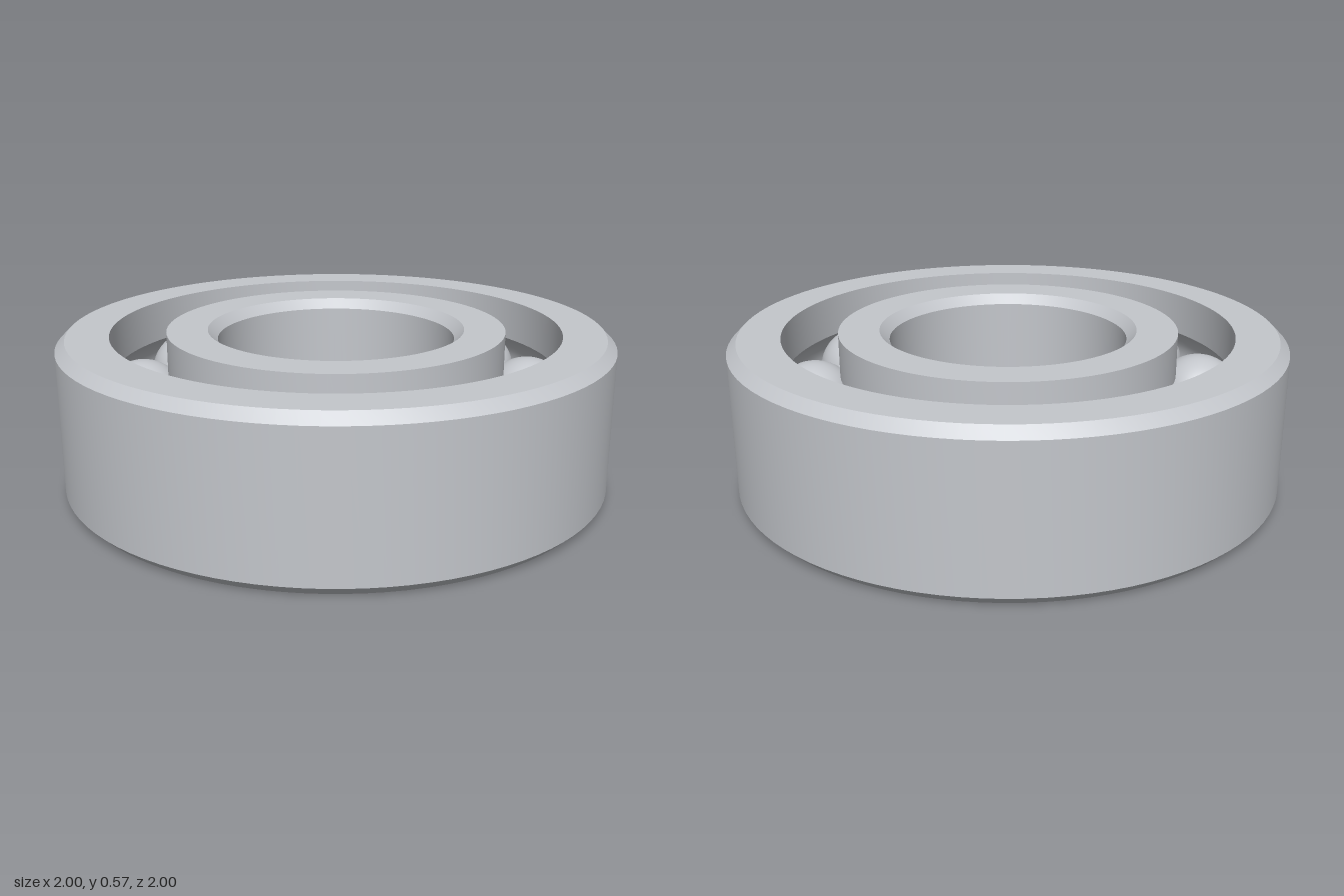
import * as THREE from 'three';
import { toCreasedNormals } from 'three/addons/utils/BufferGeometryUtils.js';

const HEIGHT = 0.572, MID = HEIGHT / 2, CHAMFER = 0.035;
const PITCH = 0.7125;         // radius of the circle of ball centres
const BALL = 0.16, GROOVE = 0.164, SHOULDER = 0.1;
const BALLS = 10;

// Arc of the ball groove; side +1 cuts the outer race, -1 the inner race
function groove(side) {
  const limit = Math.acos(SHOULDER / GROOVE), steps = 14, points = [];
  for (let i = 0; i <= steps; i++) {
    const a = side * limit * (1 - (2 * i) / steps);
    points.push([PITCH + side * GROOVE * Math.cos(a), MID + GROOVE * Math.sin(a)]);
  }
  return points;
}

// Closed counterclockwise section turned about the y axis, with sharp edges
function ring(name, section, material) {
  const profile = [...section, section[0]].map(([r, y]) => new THREE.Vector2(r, y));
  const geometry = toCreasedNormals(new THREE.LatheGeometry(profile, 96), 0.5);
  const mesh = new THREE.Mesh(geometry, material);
  mesh.name = name;
  return mesh;
}

export function createModel() {
  const model = new THREE.Group();
  model.name = 'ballBearing';
  const steel = new THREE.MeshStandardMaterial({ color: 0xc4c7cc });
  steel.name = 'steel';

  // Outer race: chamfered outside, grooved inside
  model.add(ring('outerRace', [
    [1 - CHAMFER, 0], [1, CHAMFER], [1, HEIGHT - CHAMFER], [1 - CHAMFER, HEIGHT],
    [PITCH + SHOULDER, HEIGHT], ...groove(1), [PITCH + SHOULDER, 0],
  ], steel));

  // Inner race: grooved outside, chamfered bore
  const bore = 0.43;
  model.add(ring('innerRace', [
    [PITCH - SHOULDER, 0], ...groove(-1), [PITCH - SHOULDER, HEIGHT],
    [bore + CHAMFER, HEIGHT], [bore, HEIGHT - CHAMFER], [bore, CHAMFER], [bore + CHAMFER, 0],
  ], steel));

  // Balls spaced evenly between the races
  const balls = new THREE.Group();
  balls.name = 'balls';
  const sphere = new THREE.SphereGeometry(BALL, 40, 24);
  for (let i = 0; i < BALLS; i++) {
    const a = (i / BALLS) * Math.PI * 2;
    const ball = new THREE.Mesh(sphere, steel);
    ball.name = 'ball';
    ball.position.set(PITCH * Math.cos(a), MID, PITCH * Math.sin(a));
    balls.add(ball);
  }
  model.add(balls);
  return model;
}
